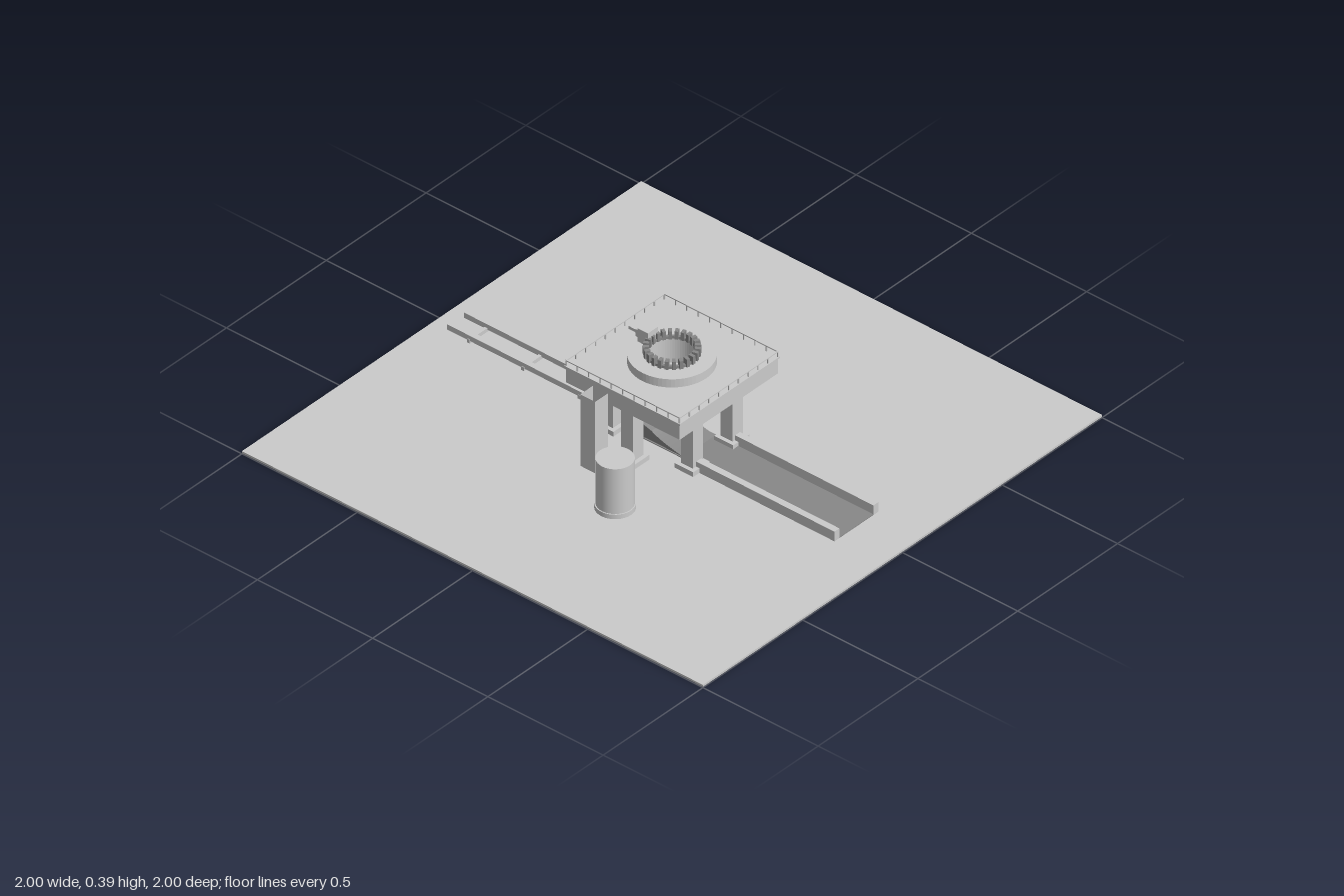
import * as THREE from 'three';

const grey = new THREE.MeshStandardMaterial({ color: 0xcccccc });
const dark = new THREE.MeshStandardMaterial({ color: 0x888888 });
const thin = new THREE.MeshStandardMaterial({ color: 0xcccccc, side: THREE.DoubleSide });

export function createModel() {
  const root = new THREE.Group();

  const add = (name, geo, x, y, z, mat = grey) => {
    const m = new THREE.Mesh(geo, mat);
    m.name = name;
    m.position.set(x, y, z);
    root.add(m);
    return m;
  };
  // Box given by its limits on each axis
  const box = (name, x0, x1, y0, y1, z0, z1, mat) =>
    add(name, new THREE.BoxGeometry(x1 - x0, y1 - y0, z1 - z0),
      (x0 + x1) / 2, (y0 + y1) / 2, (z0 + z1) / 2, mat);
  // Round bar between two points
  const bar = (name, a, b, r) => {
    const d = b.clone().sub(a), mid = a.clone().add(b).multiplyScalar(0.5);
    const m = add(name, new THREE.CylinderGeometry(r, r, d.length(), 8), mid.x, mid.y, mid.z);
    m.quaternion.setFromUnitVectors(new THREE.Vector3(0, 1, 0), d.normalize());
  };
  // Horizontal plate with a round hole, from y0 to y1
  const holedPlate = (name, shape, hole, y0, y1, mat) => {
    shape.holes.push(new THREE.Path().absarc(0, 0, hole, 0, Math.PI * 2, true));
    const geo = new THREE.ExtrudeGeometry(shape, { depth: y1 - y0, bevelEnabled: false, curveSegments: 32 });
    add(name, geo.rotateX(-Math.PI / 2), 0, y0, 0, mat);
  };
  const square = (h) => new THREE.Shape([[-h, -h], [h, -h], [h, h], [-h, h]].map((p) => new THREE.Vector2(...p)));
  const disc = (r) => new THREE.Shape().absarc(0, 0, r, 0, Math.PI * 2, false);

  // Ground and flame trench
  box('ground', -1, 1, 0.003, 0.011, -1, 1);
  box('trenchFloor', -0.085, 0.085, 0, 0.014, -0.05, 0.8, dark);
  for (const s of [-1, 1]) {
    const wall = box('trenchWall', 0.085, 0.11, 0.01, 0.05, 0.2, 0.8);
    wall.position.x *= s;
  }

  // Curved flame deflector, swept across the trench
  const profile = new THREE.Shape();
  profile.moveTo(-0.13, 0.012);
  profile.quadraticCurveTo(-0.02, 0.03, 0.02, 0.054);
  profile.lineTo(0.1, 0.076);
  profile.lineTo(0.1, 0.012);
  profile.closePath();
  const deflector = new THREE.ExtrudeGeometry(profile, { depth: 0.16, bevelEnabled: false, curveSegments: 8 });
  deflector.rotateY(Math.PI / 2);
  add('flameDeflector', deflector, -0.08, 0, 0, dark);

  // Six legs with footings and inward braces
  for (let i = 0; i < 6; i++) {
    const a = (i * Math.PI) / 3, c = Math.cos(a), s = Math.sin(a);
    const x = 0.2 * c, z = 0.2 * s;
    box('leg', x - 0.026, x + 0.026, 0.01, 0.236, z - 0.026, z + 0.026);
    box('footing', x - 0.041, x + 0.041, 0.01, 0.03, z - 0.041, z + 0.041);
    bar('brace', new THREE.Vector3(0.18 * c, 0.115, 0.18 * s), new THREE.Vector3(0.115 * c, 0.236, 0.115 * s), 0.007);
  }

  // Deck with its opening, lip and mount ring
  holedPlate('deck', square(0.247), 0.085, 0.235, 0.296);
  holedPlate('deckLip', square(0.251), 0.085, 0.296, 0.302);
  holedPlate('mountRing', disc(0.148), 0.085, 0.302, 0.335);
  holedPlate('clampRing', disc(0.09), 0.08, 0.335, 0.345, dark);

  // Hold-down clamps around the opening
  const clamps = 24;
  for (let i = 0; i < clamps; i++) {
    const a = (i * 2 * Math.PI) / clamps;
    const m = add('clamp', new THREE.BoxGeometry(0.02, 0.032, 0.012),
      0.086 * Math.cos(a), 0.351, 0.086 * Math.sin(a), dark);
    m.rotation.y = -a;
  }

  // Supply arm head at the back of the ring
  box('supplyHood', -0.025, 0.025, 0.335, 0.388, -0.128, -0.083);
  box('supplyNeck', -0.014, 0.014, 0.342, 0.37, -0.146, -0.128);
  box('supplyPipe', -0.007, 0.007, 0.35, 0.362, -0.182, -0.146);

  // Deck railing
  const h = 0.246, n = 10;
  for (let side = 0; side < 4; side++) {
    const rail = new THREE.Group();
    rail.name = 'railing';
    rail.rotation.y = (side * Math.PI) / 2;
    const piece = (w, ht, x, y) => {
      const m = new THREE.Mesh(new THREE.BoxGeometry(w, ht, 0.004), grey);
      m.name = 'railingBar';
      m.position.set(x, y, h);
      rail.add(m);
    };
    piece(2 * h, 0.004, 0, 0.323);
    for (let i = 0; i < n; i++) piece(0.004, 0.022, -h + (2 * h * i) / n, 0.312);
    root.add(rail);
  }

  // Supply lines running back from the deck, with cross supports
  for (const s of [-1, 1]) {
    const x = 0.043 * s;
    box('supplyLine', x - 0.011, x + 0.011, 0.02, 0.041, -0.93, -0.235);
    box('supplyRiser', x - 0.011, x + 0.011, 0.03, 0.236, -0.256, -0.235);
  }
  for (const z of [-0.355, -0.6, -0.835]) box('crossSupport', -0.056, 0.056, 0.01, 0.026, z - 0.006, z + 0.006);

  // Open-ended service shaft
  const shaft = new THREE.CylinderGeometry(0.0325 * Math.SQRT2, 0.0325 * Math.SQRT2, 0.29, 4, 1, true);
  shaft.rotateY(Math.PI / 4);
  add('serviceShaft', shaft.toNonIndexed(), -0.303, 0.155, -0.075, thin).geometry.computeVertexNormals();

  // Water tank on its base
  add('tank', new THREE.CylinderGeometry(0.065, 0.065, 0.19, 32), -0.435, 0.115, 0.13);
  add('tankBase', new THREE.CylinderGeometry(0.069, 0.069, 0.018, 32), -0.435, 0.02, 0.13);

  return root;
}
